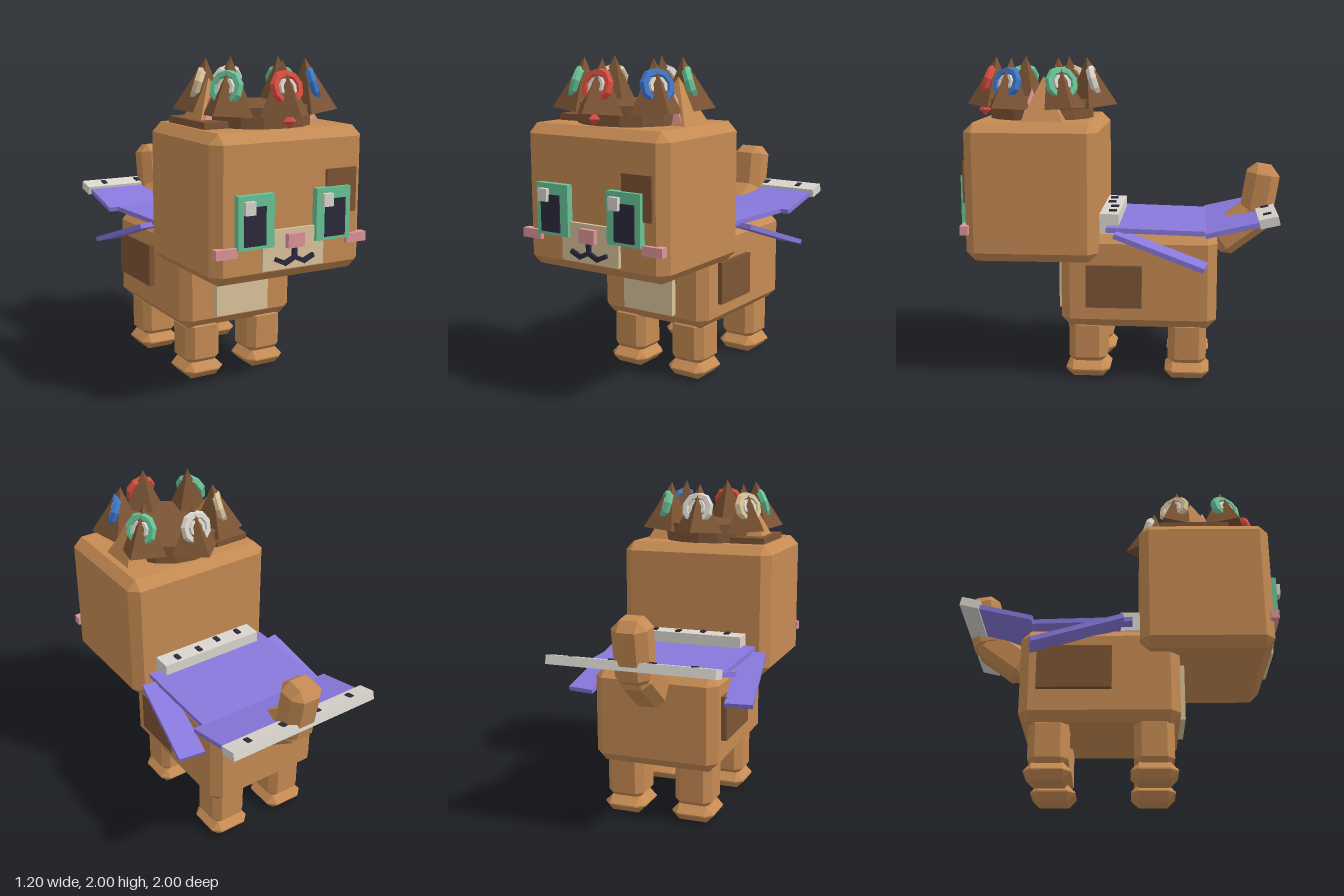
import * as THREE from 'three';
import { ConvexGeometry } from 'three/addons/geometries/ConvexGeometry.js';

const mat = (name, color) => {
  const m = new THREE.MeshStandardMaterial({ color });
  m.name = name;
  return m;
};

// Faceted copy of a geometry
function flat(geometry) {
  const g = geometry.index ? geometry.toNonIndexed() : geometry;
  g.computeVertexNormals();
  return g;
}

// Box with every edge cut by c
function chamferBox(w, h, d, c) {
  const pts = [];
  for (const x of [-1, 1]) for (const y of [-1, 1]) for (const z of [-1, 1]) {
    const X = x * w / 2, Y = y * h / 2, Z = z * d / 2;
    pts.push(
      new THREE.Vector3(X, Y - y * c, Z - z * c),
      new THREE.Vector3(X - x * c, Y, Z - z * c),
      new THREE.Vector3(X - x * c, Y - y * c, Z));
  }
  return new ConvexGeometry(pts);
}

export function createModel() {
  const tan = mat('tan fur', 0xc68b53);
  const brown = mat('dark brown', 0x7d5535);
  const cream = mat('cream', 0xdac49b);
  const green = mat('green', 0x68c498);
  const purple = mat('purple cloth', 0x8878dc);
  const white = mat('off white', 0xdad6ce);
  const dark = mat('near black', 0x2c2a3c);
  const pink = mat('pink', 0xde9599);
  const red = mat('red', 0xda4e40);
  const blue = mat('blue', 0x3f78cc);

  const model = new THREE.Group();
  model.name = 'cat';

  function add(name, geometry, material, x, y, z, parent = model) {
    const mesh = new THREE.Mesh(geometry, material);
    mesh.name = name;
    mesh.position.set(x, y, z);
    parent.add(mesh);
    return mesh;
  }
  // Box given by its limits on each axis
  const span = (name, material, x0, x1, y0, y1, z0, z1) =>
    add(name, new THREE.BoxGeometry(x1 - x0, y1 - y0, z1 - z0), material,
      (x0 + x1) / 2, (y0 + y1) / 2, (z0 + z1) / 2);

  // Body and head
  add('body', chamferBox(0.79, 0.595, 0.965, 0.058), tan, 0, 0.6375, -0.1225);
  add('head', chamferBox(1.01, 0.85, 0.81, 0.058), tan, 0, 1.195, 0.525);
  span('bib', cream, -0.185, 0.185, 0.415, 0.8, 0.33, 0.395);

  // Fur patches
  span('leftFlankPatch', brown, 0.37, 0.425, 0.48, 0.745, -0.145, 0.2);
  span('rightFlankPatch', brown, -0.43, -0.37, 0.53, 0.8, -0.5, -0.05);
  span('foreheadPatch', brown, 0.225, 0.43, 1.125, 1.385, 0.9, 0.947);
  span('crownPatch', brown, -0.43, -0.2, 1.6, 1.66, 0.25, 0.69);

  // Legs and paws
  const legGeo = chamferBox(0.24, 0.3, 0.24, 0.045);
  const pawGeo = chamferBox(0.27, 0.104, 0.28, 0.048);
  for (const x of [-0.224, 0.224]) for (const z of [0.2, -0.425]) {
    const end = z > 0 ? 'front' : 'back';
    add(end + 'Leg', legGeo, tan, x, 0.235, z);
    add(end + 'Paw', pawGeo, tan, x, 0.052, z);
  }

  // Tail in two segments
  add('tailBase', chamferBox(0.21, 0.36, 0.22, 0.05), tan, 0, 0.92, -0.737).rotation.x = -0.927;
  add('tailTip', chamferBox(0.22, 0.4, 0.205, 0.055), tan, 0, 1.127, -0.871).rotation.x = -0.16;

  // Eyes with pupil and highlight
  for (const [name, x0, pupil, glint] of [['rightEye', -0.375, -0.34, -0.345], ['leftEye', 0.14, 0.195, 0.17]]) {
    span(name, green, x0, x0 + 0.232, 0.98, 1.285, 0.9, 0.972);
    span(name + 'Pupil', dark, pupil, pupil + 0.14, 1.0, 1.22, 0.97, 0.979);
    span(name + 'Highlight', white, glint, glint + 0.067, 1.18, 1.255, 0.965, 1.0);
  }

  // Muzzle, nose, cheeks
  span('muzzle', cream, -0.205, 0.205, 0.84, 1.07, 0.9, 0.952);
  span('nose', pink, -0.055, 0.055, 0.963, 1.045, 0.93, 0.983);
  for (const s of [-1, 1]) add('cheek', new THREE.BoxGeometry(0.138, 0.056, 0.05), pink, s * 0.436, 0.968, 0.931);

  // Mouth strokes
  function stroke(ax, ay, bx, by) {
    const bar = add('mouth', new THREE.BoxGeometry(Math.hypot(bx - ax, by - ay), 0.026, 0.03), dark,
      (ax + bx) / 2, (ay + by) / 2, 0.957);
    bar.rotation.z = Math.atan2(by - ay, bx - ax);
  }
  stroke(0, 0.97, 0, 0.895);
  for (const s of [-1, 1]) {
    stroke(0, 0.905, s * 0.07, 0.872);
    stroke(s * 0.06, 0.874, s * 0.128, 0.905);
  }

  // Ears
  const pyramid = (w, h, d) => {
    const g = new THREE.ConeGeometry(Math.SQRT1_2, 1, 4);
    g.rotateY(Math.PI / 4);
    return flat(g.scale(w, h, d));
  };
  for (const s of [-1, 1]) {
    add('ear', pyramid(0.265, 0.28, 0.265), tan, s * 0.28, 1.75, 0.4625);
    add('innerEar', pyramid(0.2, 0.2, 0.11), pink, s * 0.29, 1.715, 0.535);
  }

  // Crown: band, six spikes and six horseshoe ornaments
  const crown = new THREE.Group();
  crown.name = 'crown';
  crown.position.z = 0.52;
  model.add(crown);
  add('crownBand', flat(new THREE.CylinderGeometry(0.33, 0.33, 0.13, 16)), brown, 0, 1.675, 0, crown);

  const horseshoe = (radius, tube, gap) => {
    const g = new THREE.TorusGeometry(radius, tube, 6, 8, Math.PI * 2 - gap);
    g.rotateZ(-Math.PI / 2 + gap / 2);
    return flat(g);
  };
  const spikeGeo = flat(new THREE.ConeGeometry(0.165, 0.315, 4));
  const outerGeo = horseshoe(0.081, 0.028, 1.0);
  const innerGeo = horseshoe(0.044, 0.018, 1.0);
  [red, blue, green, white, cream, green].forEach((colour, i) => {
    const point = new THREE.Group();
    point.name = 'crownPoint';
    point.rotation.y = i * Math.PI / 3;
    crown.add(point);
    add('spike', spikeGeo, brown, 0, 1.843, 0.304, point).rotation.x = -0.1;
    const ornament = new THREE.Group();
    ornament.name = 'ornament';
    ornament.position.set(0, 1.845, 0.335);
    ornament.rotation.x = -0.3;
    point.add(ornament);
    add('ornamentRing', outerGeo, colour, 0, 0, 0, ornament);
    add('ornamentInnerRing', innerGeo, white, 0, 0, 0.008, ornament);
  });
  add('crownGem', flat(new THREE.OctahedronGeometry(0.042)), red, 0, 1.665, 0.89);

  // Cape: two panels, side flaps and studded bars
  add('capeFront', new THREE.BoxGeometry(0.87, 0.03, 0.615), purple, 0, 0.963, -0.233).rotation.x = -0.025;
  add('capeRear', new THREE.BoxGeometry(0.99, 0.03, 0.34), purple, 0, 0.992, -0.695).rotation.x = 0.23;
  for (const s of [-1, 1]) {
    const flap = add('capeFlap', new THREE.BoxGeometry(0.17, 0.03, 0.58), purple, s * 0.475, 0.858, -0.262);
    flap.rotation.set(-0.33, -s * 0.14, 0, 'YXZ');
  }

  span('collarBar', white, -0.355, 0.355, 0.93, 1.055, 0, 0.12);
  const studGeo = new THREE.BoxGeometry(0.03, 0.02, 0.05);
  for (const [x, z] of [[-0.243, 0.075], [-0.08, 0.075], [0.08, 0.045], [0.243, 0.045]])
    add('collarStud', studGeo, dark, x, 1.055, z);

  const hem = new THREE.Group();
  hem.name = 'hem';
  hem.position.set(0, 1.046, -0.905);
  hem.rotation.x = 0.23;
  model.add(hem);
  add('hemBar', new THREE.BoxGeometry(1.03, 0.055, 0.118), white, 0, 0, 0, hem);
  for (const x of [-0.375, -0.125, 0.125, 0.375]) add('hemStud', studGeo, dark, x, 0.025, 0, hem);

  return model;
}
